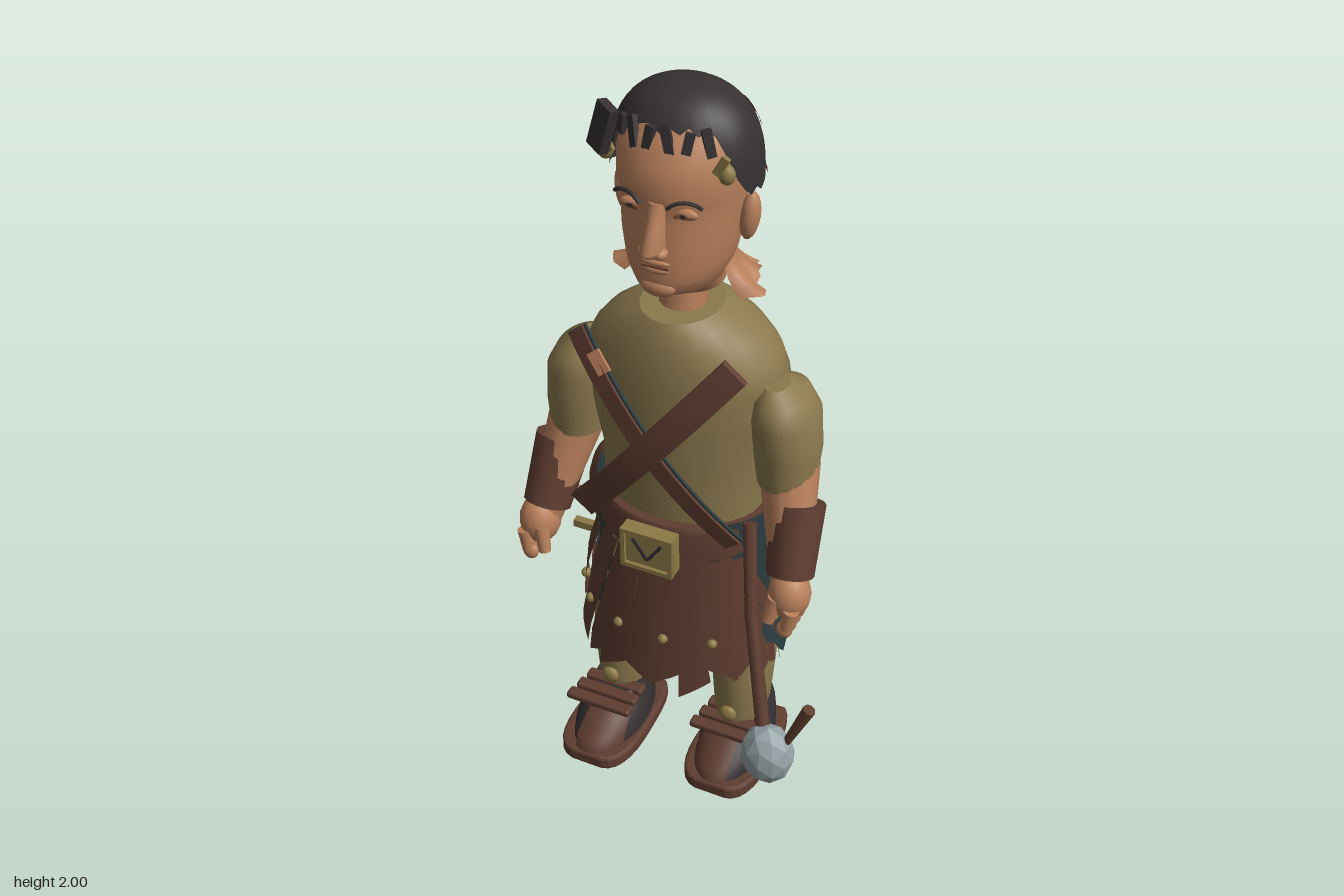
import * as THREE from 'three';
import { RoundedBoxGeometry } from 'three/addons/geometries/RoundedBoxGeometry.js';

const paint = (name, color, side = THREE.DoubleSide) => {
  const m = new THREE.MeshStandardMaterial({ color, side });
  m.name = name;
  return m;
};

export function createModel() {
  const skin = paint('skin', 0xb9805c), cloth = paint('tunicCloth', 0x8b794e), leather = paint('leather', 0x5f3d31);
  const teal = paint('tealCloth', 0x2c3b3e), hair = paint('darkHair', 0x363031), brass = paint('brass', 0x8c7a46);
  const scalp = paint('scalp', 0x744630);
  const stone = paint('stone', 0x95a2a5, THREE.FrontSide);
  stone.flatShading = true;

  const model = new THREE.Group();
  const body = new THREE.Group();
  body.name = 'body';
  body.position.x = -0.045;
  model.add(body);

  const add = (name, geo, mat, x = 0, y = 0, z = 0, parent = body) => {
    const m = new THREE.Mesh(geo, mat);
    m.name = name;
    m.position.set(x, y, z);
    parent.add(m);
    return m;
  };
  const box = (name, mat, w, h, d, x, y, z) => add(name, new THREE.BoxGeometry(w, h, d), mat, x, y, z);
  const ball = (name, mat, x, y, z, rx, ry = rx, rz = rx) => {
    const m = add(name, new THREE.SphereGeometry(1, 16, 10), mat, x, y, z);
    m.scale.set(rx, ry, rz);
    return m;
  };
  const toGeometry = (pos, idx) => {
    const g = new THREE.BufferGeometry();
    g.setAttribute('position', new THREE.Float32BufferAttribute(pos, 3));
    g.setIndex(idx);
    g.computeVertexNormals();
    return g;
  };
  // surface from a rule f(u, v) -> [x, y, z]
  const sheet = (name, mat, f, nu, nv) => {
    const pos = [], idx = [], w = nu + 1;
    for (let j = 0; j <= nv; j++) for (let i = 0; i <= nu; i++) pos.push(...f(i / nu, j / nv));
    for (let j = 0; j < nv; j++) for (let i = 0; i < nu; i++) {
      const a = j * w + i;
      idx.push(a, a + 1, a + w + 1, a, a + w + 1, a + w);
    }
    return add(name, toGeometry(pos, idx), mat);
  };
  // closed body through oval rings [y, halfWidth, zFront, zBack, centreX], bottom to top
  const loft = (name, mat, rings, cx = 0, dz = 0, n = 28) => {
    const pos = [], idx = [];
    const ring = ([y, rx, zf, zb, ox = 0]) => {
      for (let i = 0; i < n; i++) {
        const a = (i / n) * Math.PI * 2;
        pos.push(cx + ox + rx * Math.sin(a), y, dz + (zf + zb) / 2 + ((zf - zb) / 2) * Math.cos(a));
      }
    };
    rings.forEach(ring);
    for (let j = 0; j < rings.length - 1; j++) for (let i = 0; i < n; i++) {
      const a = j * n + i, b = j * n + ((i + 1) % n);
      idx.push(a, b, b + n, a, b + n, a + n);
    }
    [rings[0], rings[rings.length - 1]].forEach((r, top) => {
      const s = pos.length / 3;
      ring(r);
      pos.push(cx + (r[4] || 0), r[0], dz + (r[2] + r[3]) / 2);
      for (let i = 0; i < n; i++) {
        const a = s + i, b = s + ((i + 1) % n);
        idx.push(...(top ? [a, b, s + n] : [b, a, s + n]));
      }
    });
    return add(name, toGeometry(pos, idx), mat);
  };
  // tapered rod from point a to point b
  const limb = (name, mat, a, b, ra, rb, parent = body, n = 14) => {
    const A = new THREE.Vector3(...a), B = new THREE.Vector3(...b), d = B.clone().sub(A);
    const m = add(name, new THREE.CylinderGeometry(rb, ra, d.length(), n), mat, 0, 0, 0, parent);
    m.position.copy(A).add(B).multiplyScalar(0.5);
    m.quaternion.setFromUnitVectors(new THREE.Vector3(0, 1, 0), d.normalize());
    return m;
  };
  const jag = k => [0, 0.7, 0.25, 1, 0.1, 0.55, 0.85, 0.3][((k % 8) + 8) % 8];
  const { smoothstep, clamp } = THREE.MathUtils;

  // trunk
  loft('tunic', cloth, [[0.86, 0.215, 0.09, -0.23], [1.0, 0.215, 0.1, -0.245], [1.15, 0.25, 0.105, -0.265], [1.27, 0.265, 0.1, -0.265],
    [1.33, 0.24, 0.095, -0.26], [1.38, 0.2, 0.085, -0.24], [1.42, 0.145, 0.075, -0.21], [1.445, 0.1, 0.06, -0.18]]);
  loft('breeches', cloth, [[0.54, 0.13, 0.0, -0.18], [0.58, 0.19, 0.05, -0.25], [0.66, 0.215, 0.08, -0.28], [0.76, 0.22, 0.09, -0.258], [0.88, 0.215, 0.09, -0.23]]);
  loft('belt', leather, [[0.77, 0.226, 0.12, -0.262], [0.785, 0.23, 0.13, -0.268], [0.865, 0.228, 0.125, -0.255], [0.88, 0.222, 0.115, -0.245]]);
  box('buckle', brass, 0.145, 0.115, 0.035, 0, 0.818, 0.14);
  for (const s of [-1, 1]) {
    box('buckleGroove', hair, 0.008, 0.07, 0.006, s * 0.02, 0.82, 0.159).rotation.z = -s * 0.6;
    box('buckleRim', brass, 0.012, 0.12, 0.015, s * 0.066, 0.818, 0.16);
    box('buckleRim', brass, 0.14, 0.012, 0.015, 0, 0.818 + s * 0.054, 0.16);
  }

  // crossed chest straps, bowed forward
  const strap = (name, mat, w, d, z, turn) => {
    const L = 0.67, g = new THREE.BoxGeometry(w, L, d, 1, 14, 1), p = g.attributes.position;
    for (let i = 0; i < p.count; i++) p.setZ(i, p.getZ(i) + 0.055 * (1 - (2 * p.getY(i) / L) ** 2));
    g.computeVertexNormals();
    add(name, g, mat, 0, 1.13, z).rotation.z = turn;
  };
  strap('strapEdging', teal, 0.06, 0.008, 0.09, 0.67);
  strap('strap', leather, 0.048, 0.014, 0.095, 0.67);
  strap('broadStrap', leather, 0.074, 0.016, 0.105, -0.67);
  box('strapPatch', skin, 0.035, 0.06, 0.008, -0.135, 1.335, 0.124).rotation.set(-0.25, 0, 0.67);

  // skirt of ragged leather strips with studs, fanning out from the belt
  const N = 14;
  for (let k = 0; k < N; k++) {
    const a0 = -2.1 + (4.2 * k) / N, aw = 4.2 / N + 0.04, lift = (k % 2) * 0.012;
    const low = 0.34 + 0.06 * jag(k * 3), slant = k % 3 ? 0.06 : -0.05;
    const at = (a, y) => {
      const t = (0.79 - y) / 0.44, b = a * (0.52 + 0.48 * Math.min(1, t * 1.15));
      return [(0.23 + 0.045 * t + lift) * Math.sin(b), y, -0.03 + (0.15 + 0.04 * t + lift) * Math.cos(b)];
    };
    sheet('skirtStrip', leather, (u, v) => {
      const bottom = low + slant * (u - 0.5) + 0.02;
      return at(a0 + aw * u, bottom + (0.79 - bottom) * v);
    }, 3, 6);
    if (k % 2) ball('stud', brass, ...at(a0 + aw / 2, 0.53), 0.014);
  }

  // shoe sole outline, heel to rounded toe
  const outline = new THREE.Shape();
  outline.moveTo(-0.075, -0.17);
  outline.lineTo(0.075, -0.17);
  outline.bezierCurveTo(0.1, -0.15, 0.1, -0.05, 0.102, 0.03);
  outline.bezierCurveTo(0.102, 0.12, 0.08, 0.165, 0.045, 0.17);
  outline.lineTo(-0.045, 0.17);
  outline.bezierCurveTo(-0.08, 0.165, -0.102, 0.12, -0.102, 0.03);
  outline.bezierCurveTo(-0.1, -0.05, -0.1, -0.15, -0.075, -0.17);
  const soleGeo = new THREE.ExtrudeGeometry(outline, { depth: 0.026, bevelSize: 0.01, bevelThickness: 0.008, bevelSegments: 2, curveSegments: 6 }).rotateX(Math.PI / 2);
  const treadGeo = new THREE.ShapeGeometry(outline, 6).rotateX(Math.PI / 2);

  for (const s of [-1, 1]) {
    const dz = s > 0 ? -0.03 : 0.015, x = s * 0.18;
    // leg
    loft('leg', cloth, [[0.12, 0.06, 0.02, -0.14], [0.2, 0.074, 0.04, -0.165], [0.35, 0.084, 0.05, -0.18], [0.48, 0.09, 0.055, -0.195, -s * 0.015],
      [0.62, 0.092, 0.05, -0.21, -s * 0.04], [0.74, 0.06, 0.02, -0.16, -s * 0.05]], x);
    ball('legButton', brass, x, 0.21, 0.045, 0.025, 0.025, 0.015);
    // cloth over the hip, and its ragged end wrapped round the back of the thigh
    sheet('hipDrape', teal, (u, v) => {
      const a = 0.62 + 1.73 * u, y = 0.55 + 0.337 * v, r = 0.225 + 0.021 * smoothstep(y, 0.55, 0.62);
      return [s * r * Math.sin(a), y, -0.09 + (r - 0.046) * Math.cos(a)];
    }, 16, 8);
    sheet('thighDrape', teal, (u, v) => {
      const a = 0.2 + 3.6 * u;
      const bottom = 0.5 - 0.13 * smoothstep(u, 0.1, 0.45) + 0.07 * smoothstep(u, 0.6, 1) + 0.035 * jag(Math.round(u * 20));
      const y = bottom + (0.65 - bottom) * v;
      return [s * (0.18 - 0.04 * smoothstep(y, 0.4, 0.65) + 0.106 * Math.sin(a)), y, -0.075 + 0.152 * Math.cos(a)];
    }, 20, 8);

    // shoe
    add('sole', soleGeo, leather, x, 0.037, 0.015 + dz);
    add('soleTread', treadGeo, hair, x, 0, 0.015 + dz);
    const shoe = [[0.042, 0.096, 0.185, -0.165], [0.075, 0.096, 0.17, -0.165], [0.11, 0.089, 0.11, -0.163], [0.14, 0.08, 0.06, -0.16], [0.155, 0.075, 0.045, -0.157]];
    loft('shoe', hair, shoe, x, dz);
    sheet('shoeVamp', leather, (u, v) => {
      const [y, rx, zf, zb] = shoe[Math.round(v * 4)], a = (u - 0.5) * 1.35 - s * 0.25, r = (zf - zb) / 2 + 0.006;
      return [x + (rx + 0.004) * Math.sin(a), y + 0.004, dz + (zf + zb) / 2 + r * Math.cos(a)];
    }, 10, 4);
    [0.1, 0.05, 0.0].forEach((z, i) => add('shoeStrap', new RoundedBoxGeometry(0.195 - 0.01 * i, 0.022, 0.036, 2, 0.008), leather, x, 0.165 - 0.006 * i, z + dz));

    // arm
    loft('sleeve', cloth, [[1.01, 0.074, 0.035, -0.13, s * 0.288], [1.1, 0.084, 0.045, -0.155, s * 0.285], [1.2, 0.083, 0.055, -0.165, s * 0.277],
      [1.255, 0.066, 0.04, -0.145, s * 0.265], [1.285, 0.03, 0, -0.09, s * 0.255]]);
    limb('forearm', skin, [s * 0.29, 1.05, -0.055], [s * 0.352, 0.74, 0.065], 0.078, 0.046);
    limb('bracer', leather, [s * 0.325, 0.955, -0.028], [s * 0.345, 0.785, 0.05], 0.08, 0.066).scale.x = 0.92;
    ball('palm', skin, s * 0.355, 0.745, 0.075, 0.055, 0.07, 0.058);
    for (let f = 0; f < 4; f++) {
      const z = 0.035 + f * 0.028;
      limb('finger', skin, [s * 0.378, 0.73, z], [s * 0.368, 0.67, z + 0.003], 0.021, 0.018);
      ball('fingertip', skin, s * 0.363, 0.665, z + 0.003, 0.022, 0.025, 0.017);
    }
    limb('thumb', skin, [s * 0.333, 0.75, 0.11], [s * 0.318, 0.68, 0.125], 0.022, 0.016);

    // ear, eye and brow
    ball('ear', skin, s * 0.158, 1.695, -0.082, 0.024, 0.062, 0.028).rotation.z = -s * 0.12;
    ball('eyelid', skin, s * 0.066, 1.752, 0.066, 0.03, 0.014, 0.012);
    box('eye', scalp, 0.046, 0.007, 0.008, s * 0.066, 1.75, 0.076).rotation.y = s * 0.3;
    box('iris', hair, 0.013, 0.009, 0.008, s * 0.064, 1.751, 0.078);
    const arch = new THREE.TorusGeometry(0.055, 0.005, 6, 10, 1.6).rotateZ(Math.PI / 2 - 0.8);
    add('brow', arch, hair, s * 0.07, 1.735, 0.079).rotation.set(0.1, s * 0.35, 0);
    ball('nostril', skin, s * 0.02, 1.658, 0.1, 0.016, 0.014, 0.02);
    // wreath ends above the temples
    ball('wreathBead', brass, s * 0.148, 1.85, 0.03, 0.02, 0.024, 0.018);
    box('wreathLeaf', brass, 0.02, 0.05, 0.012, s * 0.14, 1.875, 0.042).rotation.z = -s * 0.5;
  }

  // head and neck
  limb('neckStub', skin, [0, 1.43, -0.06], [0, 1.5, -0.07], 0.06, 0.06);
  loft('head', skin, [[1.49, 0.085, -0.015, -0.19], [1.522, 0.09, 0.05, -0.195], [1.54, 0.1, 0.085, -0.2], [1.575, 0.119, 0.093, -0.203], [1.61, 0.131, 0.09, -0.208],
    [1.66, 0.139, 0.092, -0.215], [1.72, 0.145, 0.085, -0.22], [1.765, 0.149, 0.084, -0.222], [1.79, 0.151, 0.094, -0.222], [1.85, 0.153, 0.085, -0.22], [1.91, 0.14, 0.05, -0.2], [1.96, 0.1, 0.0, -0.16]]);
  loft('nose', skin, [[1.645, 0.016, 0.108, 0.05], [1.655, 0.026, 0.132, 0.05], [1.67, 0.027, 0.143, 0.05], [1.72, 0.024, 0.116, 0.04], [1.775, 0.026, 0.094, 0.04]], 0, 0, 14);
  ball('upperLip', skin, 0, 1.624, 0.085, 0.036, 0.009, 0.011);
  ball('lowerLip', skin, 0, 1.604, 0.084, 0.033, 0.011, 0.011);
  box('mouthLine', scalp, 0.066, 0.005, 0.006, 0, 1.614, 0.091);
  ball('chin', skin, 0, 1.555, 0.073, 0.045, 0.026, 0.024);
  // torn skirt of skin round the nape
  sheet('neckFlare', skin, (u, v) => {
    const a = 1.2 + (2 * Math.PI - 2.4) * u, k = Math.round(u * 28);
    const w = (1 - v) ** 2.5 * (0.5 + 0.5 * jag(k * 3));
    return [(0.108 + 0.1 * w) * Math.sin(a), 1.6 - 0.115 * (1 - v) + 0.025 * (1 - v) ** 2 * jag(k * 5), -0.1 + (0.1 + 0.045 * w) * Math.cos(a)];
  }, 28, 8);

  // hair cap: high at the forehead, low at the nape
  const hairAt = (a, y, grow = 0) => {
    const h = clamp((y - 1.76) / 0.24, 0, 1), r = (1 - h ** 3) ** (1 / 2.2);
    return [(0.182 + grow) * r * Math.sin(a), y, -0.085 + (0.152 + grow) * r * Math.cos(a)];
  };
  sheet('hair', hair, (u, v) => {
    const a = (u * 2 - 1) * Math.PI, front = smoothstep(Math.cos(a), 0.3, 0.8);
    const bottom = 1.765 + 0.155 * front + 0.018 * jag(Math.round(u * 48) % 48);
    return hairAt(a, bottom + (2 - bottom) * (1 - (1 - v) ** 1.8));
  }, 48, 14);
  // bare scalp showing through at the back, in two broken rows
  for (const [base, tall] of [[1.895, 0.022], [1.775, 0.03]]) for (let k = 0; k < 9; k++) sheet('scalpPatch', scalp, (u, v) =>
    hairAt(Math.PI + (k - 4) * 0.27 + (u - 0.5) * 0.26, base + 0.012 * jag(k) + v * (0.012 + tall * jag(k * 3)), 0.004), 3, 2);
  // fringe locks
  for (let k = 0; k < 6; k++) {
    const a = -0.8 + k * 0.3, [x, y, z] = hairAt(a, 1.92);
    box('fringeLock', hair, 0.022, 0.045 + 0.035 * jag(k), 0.014, x, y - 0.01, z + 0.006).rotation.set(-0.2, a, k % 2 ? 0.3 : -0.15);
  }
  box('sideTuft', hair, 0.055, 0.11, 0.025, -0.145, 1.91, 0.045).rotation.set(-0.2, -0.5, -0.3);

  // pouches on the right hip
  const flask = [[0, 0], [0.05, 0], [0.064, 0.02], [0.064, 0.12], [0.052, 0.135], [0.06, 0.145], [0.06, 0.175], [0.045, 0.19], [0, 0.19]].map(p => new THREE.Vector2(...p));
  add('flask', new THREE.LatheGeometry(flask, 12), leather, -0.205, 0.7, -0.265);
  add('smallFlask', new THREE.LatheGeometry(flask, 12), leather, -0.105, 0.71, -0.25).scale.set(0.75, 0.85, 0.75);
  ball('hipPouch', leather, -0.26, 0.72, -0.165, 0.068, 0.145, 0.095).rotation.y = 0.4;
  for (const y of [0.78, 0.67]) box('pouchClasp', brass, 0.07, 0.022, 0.022, -0.275, y, -0.03);

  // mace with a faceted stone head
  const mace = new THREE.Group();
  mace.name = 'mace';
  model.add(mace);
  limb('maceHandle', leather, [0.2, 0.94, 0.08], [0.245, 0.7, 0.165], 0.018, 0.016, mace, 8);
  limb('maceHandle', leather, [0.245, 0.71, 0.162], [0.325, 0.42, 0.255], 0.017, 0.019, mace, 8);
  limb('maceSpike', leather, [0.385, 0.41, 0.262], [0.444, 0.555, 0.255], 0.01, 0.017, mace, 8);
  add('maceHead', new THREE.IcosahedronGeometry(1, 1), stone, 0.343, 0.37, 0.27, mace).scale.set(0.072, 0.09, 0.064);

  return model;
}
